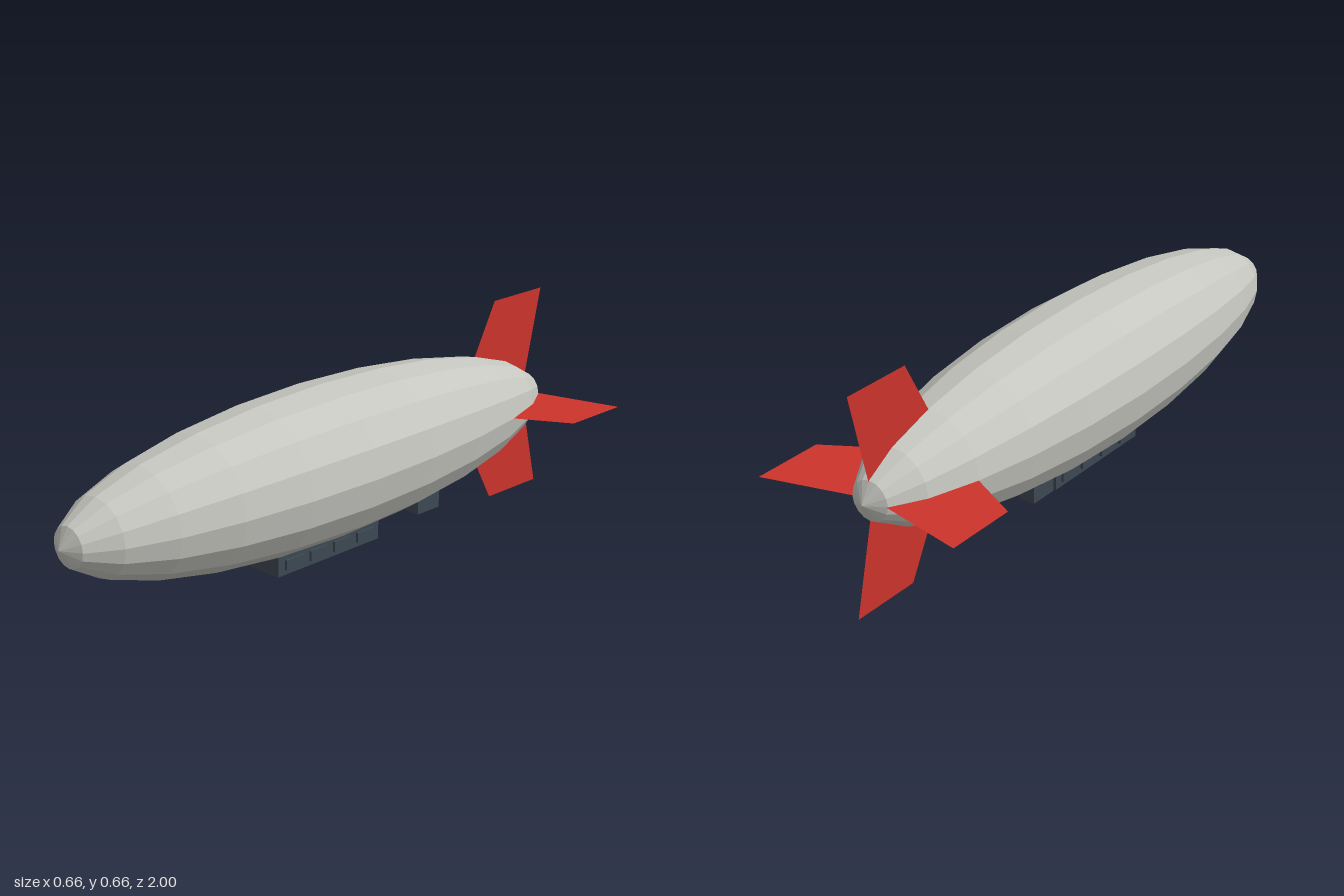
import * as THREE from 'three';

const AXIS_Y = 0.33; // height of the hull's long axis

export function createModel() {
  const model = new THREE.Group();
  model.name = 'airship';

  const hullGrey = new THREE.MeshStandardMaterial({ color: 0xc6c6c0, flatShading: true });
  hullGrey.name = 'hull grey';
  const finRed = new THREE.MeshStandardMaterial({ color: 0xcc332b, side: THREE.DoubleSide });
  finRed.name = 'fin red';
  const slate = new THREE.MeshStandardMaterial({ color: 0x3d4852 });
  slate.name = 'slate';

  const add = (name, geometry, material, x, y, z, parent = model) => {
    const mesh = new THREE.Mesh(geometry, material);
    mesh.name = name;
    mesh.position.set(x, y, z);
    parent.add(mesh);
    return mesh;
  };

  // Hull: faceted ellipsoid with its poles at nose and tail
  const hullShape = new THREE.SphereGeometry(1, 16, 12);
  hullShape.rotateX(Math.PI / 2);
  hullShape.scale(0.235, 0.235, 0.9825);
  add('hull', hullShape, hullGrey, 0, AXIS_Y, 0.0175);

  // Tail fins: four flat swept plates around the axis, drawn as (z, radius)
  const outline = [[-0.61, 0.04], [-0.77, 0.33], [-1, 0.33], [-0.93, 0.04]];
  const finShape = new THREE.ShapeGeometry(
    new THREE.Shape(outline.map(([z, r]) => new THREE.Vector2(z, r)))
  );
  finShape.rotateY(-Math.PI / 2);
  ['topFin', 'leftFin', 'bottomFin', 'rightFin'].forEach((name, i) => {
    add(name, finShape, finRed, 0, AXIS_Y, 0).rotation.z = -i * Math.PI / 2;
  });

  // Gondola with a row of raised windows on each side
  const gondola = new THREE.Group();
  gondola.name = 'gondola';
  model.add(gondola);
  add('cabin', new THREE.BoxGeometry(0.116, 0.078, 0.425), slate, 0, 0.081, 0.0375, gondola);
  const windowShape = new THREE.BoxGeometry(0.009, 0.032, 0.07);
  for (const side of [-1, 1]) {
    for (let i = 0; i < 4; i++) {
      add('window', windowShape, slate, side * 0.062, 0.073, 0.1875 - i * 0.1, gondola);
    }
  }

  // Engine pods under the rear of the hull
  const podShape = new THREE.BoxGeometry(0.05, 0.052, 0.095);
  add('leftEngine', podShape, slate, 0.1, 0.134, -0.328);
  add('rightEngine', podShape, slate, -0.1, 0.134, -0.328);

  return model;
}
